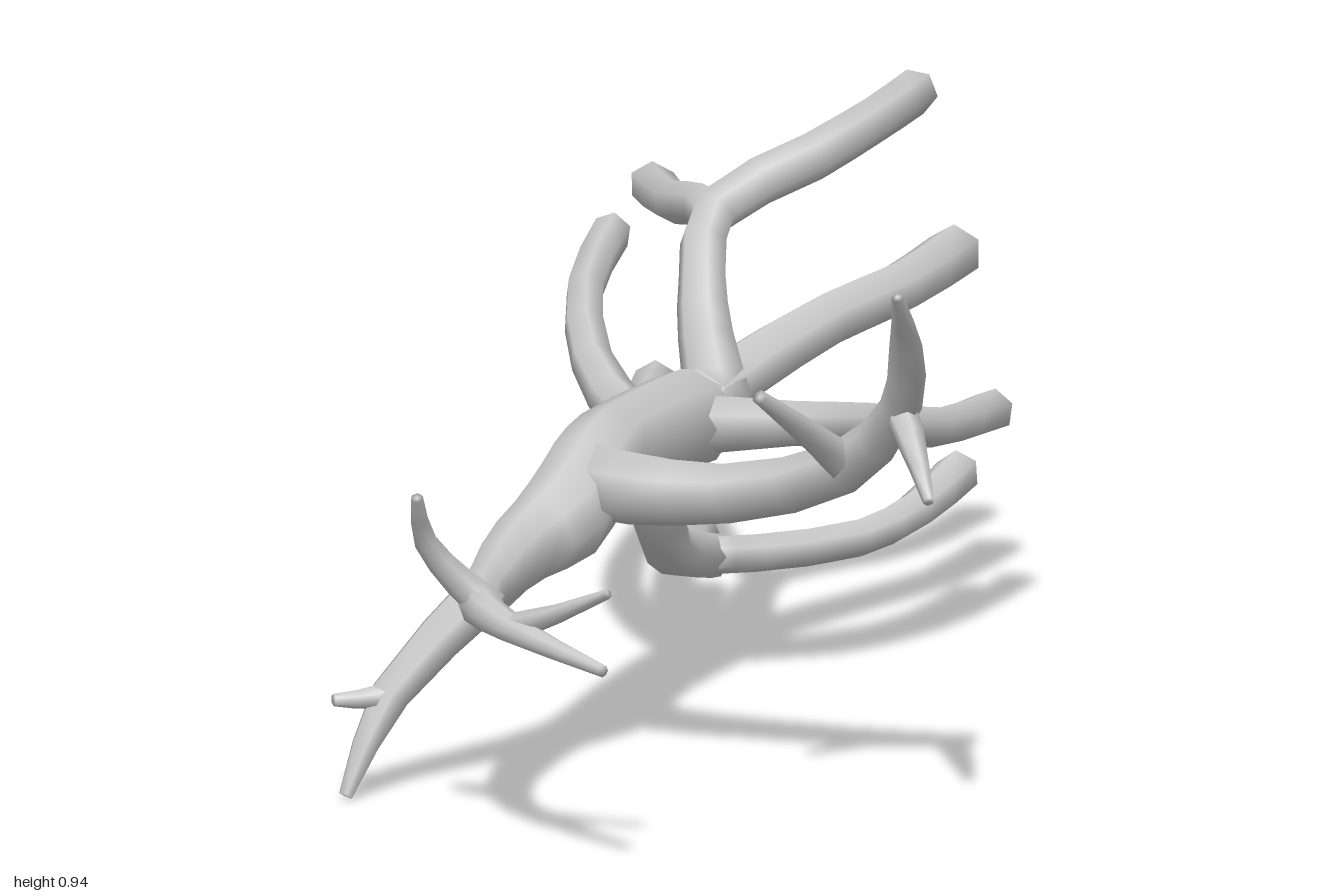
import * as THREE from 'three';

const CUT = -0.99; // plane where the rear limbs are sawn off

// Lofted limb: each point is [x, y, z, radius]. Ends closed, or cut open on the plane.
function limbGeometry(points, sides, cut) {
  const curve = new THREE.CatmullRomCurve3(points.map(p => new THREE.Vector3(p[0], p[1], p[2])), false, 'centripetal');
  const steps = (points.length - 1) * 2;
  const positions = [], index = [];
  let normal = null, lastTangent = null;
  for (let i = 0; i <= steps; i++) {
    const u = i / steps;
    const centre = curve.getPoint(u), t = curve.getTangent(u);
    // carry the frame along without twist
    if (!normal) {
      normal = new THREE.Vector3(0, 1, 0);
      if (Math.abs(t.y) > 0.8) normal.set(1, 0, 0);
      normal.addScaledVector(t, -normal.dot(t)).normalize();
    } else {
      normal.applyQuaternion(new THREE.Quaternion().setFromUnitVectors(lastTangent, t));
    }
    lastTangent = t;
    const binormal = new THREE.Vector3().crossVectors(t, normal);
    const f = u * (points.length - 1), k = Math.min(Math.floor(f), points.length - 2);
    const r = THREE.MathUtils.lerp(points[k][3], points[k + 1][3], f - k) * 1.05;
    for (let j = 0; j < sides; j++) {
      const a = j / sides * Math.PI * 2;
      const p = centre.clone().addScaledVector(normal, Math.cos(a) * r).addScaledVector(binormal, Math.sin(a) * r);
      if (cut && i === steps) p.addScaledVector(t, (CUT - p.z) / t.z);
      positions.push(p.x, p.y, p.z);
    }
  }
  for (let i = 0; i < steps; i++) {
    for (let j = 0; j < sides; j++) {
      const a = i * sides + j, b = i * sides + (j + 1) % sides;
      index.push(a, b, a + sides, b, b + sides, a + sides);
    }
  }
  // end caps
  const cap = (ring, p, flip) => {
    const c = positions.length / 3;
    positions.push(p[0], p[1], p[2]);
    for (let j = 0; j < sides; j++) {
      const a = ring * sides + j, b = ring * sides + (j + 1) % sides;
      if (flip) index.push(c, b, a); else index.push(c, a, b);
    }
  };
  cap(0, points[0], true);
  if (!cut) cap(steps, points[points.length - 1], false);
  const geometry = new THREE.BufferGeometry();
  geometry.setAttribute('position', new THREE.Float32BufferAttribute(positions, 3));
  geometry.setIndex(index);
  geometry.computeVertexNormals();
  return geometry;
}

export function createModel() {
  const group = new THREE.Group();
  const solid = new THREE.MeshStandardMaterial({ color: 0xcccccc, roughness: 0.8 });
  const open = new THREE.MeshStandardMaterial({ color: 0xcccccc, roughness: 0.8, side: THREE.DoubleSide });
  const limb = (name, points, cut = false, sides = 6) => {
    const mesh = new THREE.Mesh(limbGeometry(points, sides, cut), cut ? open : solid);
    mesh.name = name;
    group.add(mesh);
  };

  // Trunk running on into the long middle branch
  limb('trunk', [
    [-0.13, 0.495, -0.43, 0.045], [-0.165, 0.48, -0.3, 0.082], [-0.19, 0.5, 0, 0.073],
    [-0.19, 0.485, 0.13, 0.075], [-0.2, 0.44, 0.25, 0.075], [-0.235, 0.41, 0.36, 0.058],
    [-0.225, 0.4, 0.56, 0.042], [-0.19, 0.405, 0.73, 0.034], [-0.1, 0.4, 0.85, 0.024],
    [0.1, 0.375, 0.99, 0.01]], false, 8);
  limb('middleUpperTwig', [[-0.15, 0.4, 0.79, 0.02], [-0.09, 0.405, 0.85, 0.022], [0.09, 0.49, 0.93, 0.008]]);
  limb('middleSideTwig', [[-0.17, 0.4, 0.73, 0.03], [-0.22, 0.445, 0.745, 0.025],
    [-0.265, 0.52, 0.79, 0.018], [-0.258, 0.61, 0.86, 0.01]]);

  // Left branch and its twigs
  limb('leftBranch', [
    [-0.2, 0.48, 0.13, 0.06], [-0.1, 0.49, 0.215, 0.058], [0.08, 0.5, 0.245, 0.047],
    [0.3, 0.575, 0.31, 0.042], [0.425, 0.705, 0.4, 0.035], [0.462, 0.83, 0.49, 0.026],
    [0.482, 0.94, 0.6, 0.009]]);
  limb('leftLowerTwig', [[0.41, 0.71, 0.38, 0.028], [0.455, 0.67, 0.445, 0.024], [0.52, 0.588, 0.55, 0.009]]);
  limb('leftInnerTwig', [[0.31, 0.57, 0.3, 0.036], [0.285, 0.63, 0.385, 0.026], [0.24, 0.75, 0.58, 0.012]]);

  // Right drooping branch
  limb('rightBranch', [
    [-0.2, 0.45, 0.22, 0.055], [-0.29, 0.34, 0.34, 0.046], [-0.435, 0.17, 0.435, 0.034],
    [-0.49, 0.012, 0.505, 0.012]]);
  limb('rightTwig', [[-0.41, 0.185, 0.42, 0.025], [-0.455, 0.168, 0.455, 0.019], [-0.512, 0.17, 0.5, 0.01]]);

  // Upper rear stem, forking into two cut limbs
  limb('upperStem', [
    [-0.12, 0.49, -0.36, 0.055], [-0.155, 0.6, -0.395, 0.045], [-0.175, 0.69, -0.44, 0.038],
    [-0.185, 0.775, -0.54, 0.038], [-0.06, 0.842, -0.68, 0.038], [0.0, 0.875, -0.82, 0.036],
    [0.018, 0.885, CUT, 0.037]], true);
  limb('upperRightFork', [
    [-0.18, 0.765, -0.52, 0.03], [-0.22, 0.77, -0.59, 0.034], [-0.31, 0.738, -0.72, 0.034],
    [-0.43, 0.698, CUT, 0.036]], true);

  // Middle rear limbs
  limb('rearLeftUpperLimb', [
    [-0.15, 0.5, -0.33, 0.055], [-0.11, 0.53, -0.42, 0.05], [-0.01, 0.59, -0.6, 0.045],
    [0.06, 0.61, -0.76, 0.043], [0.085, 0.62, CUT, 0.045]], true);
  limb('rearLeftLowerLimb', [
    [-0.16, 0.485, -0.24, 0.05], [-0.07, 0.48, -0.3, 0.043], [0.01, 0.475, -0.35, 0.036],
    [0.085, 0.445, -0.5, 0.034], [0.135, 0.39, -0.73, 0.032], [0.15, 0.36, CUT, 0.035]], true);
  limb('rearRightUpperLimb', [
    [-0.17, 0.47, -0.25, 0.05], [-0.265, 0.46, -0.35, 0.043], [-0.385, 0.515, -0.51, 0.034],
    [-0.465, 0.58, -0.73, 0.031], [-0.5, 0.612, CUT, 0.032]], true);
  limb('rearRightLowerLimb', [
    [-0.18, 0.45, -0.28, 0.05], [-0.25, 0.415, -0.43, 0.042], [-0.35, 0.385, -0.68, 0.036],
    [-0.425, 0.365, CUT, 0.036]], true);

  // Lower rear stem, forking into two cut limbs
  limb('lowerStem', [
    [-0.18, 0.46, -0.16, 0.05], [-0.185, 0.37, -0.215, 0.048], [-0.19, 0.275, -0.285, 0.042],
    [-0.19, 0.225, -0.42, 0.04], [-0.195, 0.195, -0.55, 0.038], [-0.28, 0.155, -0.72, 0.036],
    [-0.355, 0.122, CUT, 0.036]], true);
  limb('lowerLeftFork', [
    [-0.19, 0.21, -0.48, 0.03], [-0.12, 0.2, -0.56, 0.03], [0.01, 0.2, -0.71, 0.03],
    [0.065, 0.22, -0.84, 0.032], [0.09, 0.25, CUT, 0.036]], true);

  return group;
}
